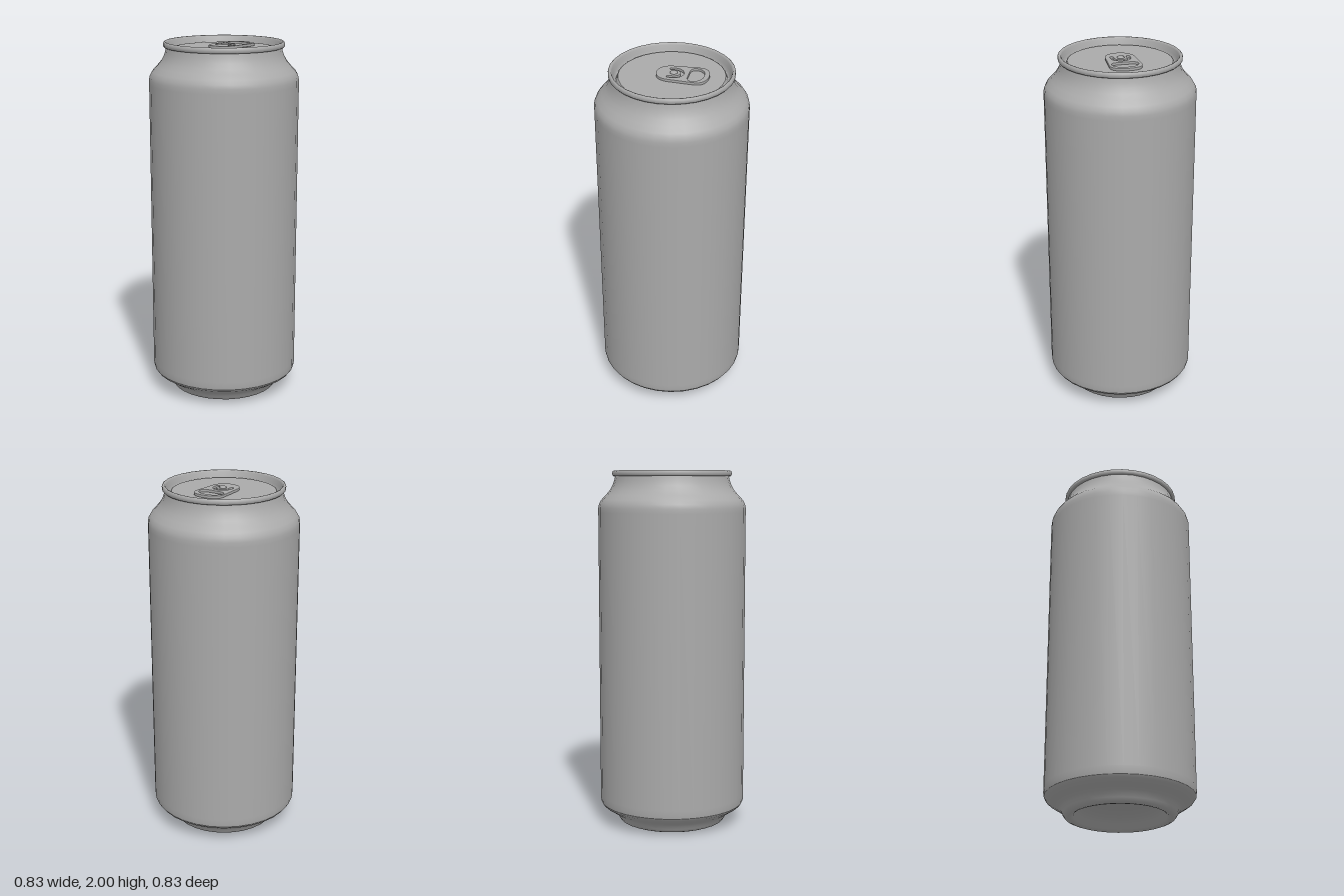
import * as THREE from 'three';

const SEGMENTS = 32;

export function createModel() {
  const can = new THREE.Group();
  can.name = 'drinkCan';
  const metal = new THREE.MeshStandardMaterial({ color: 0xaaaaaa });
  metal.name = 'plain aluminium grey';

  const add = (name, geometry) => {
    const mesh = new THREE.Mesh(geometry, metal);
    mesh.name = name;
    can.add(mesh);
    return mesh;
  };
  // Profiles run [radius, height], from the underside outwards, up and in again
  const lathe = (name, profile) =>
    add(name, new THREE.LatheGeometry(profile.map(([r, y]) => new THREE.Vector2(r, y)), SEGMENTS));

  // Hollow dome and standing ring
  lathe('base', [
    [0, 0.115], [0.07, 0.11], [0.14, 0.094], [0.2, 0.066], [0.235, 0.035], [0.25, 0.012],
    [0.265, 0.002], [0.28, 0], [0.297, 0.007], [0.31, 0.024], [0.318, 0.042],
    [0.335, 0.058], [0.37, 0.08], [0.4, 0.1], [0.41, 0.115],
  ]);

  // Straight wall, rounded shoulder and neck
  lathe('body', [
    [0.41, 0.115], [0.413, 0.135], [0.413, 0.16], [0.413, 1.77], [0.413, 1.795],
    [0.408, 1.818], [0.395, 1.84], [0.37, 1.866], [0.348, 1.892], [0.333, 1.918],
    [0.323, 1.945], [0.318, 1.97],
  ]);

  // Rolled seam, sloping inner wall and groove around the lid
  lathe('rim', [
    [0.318, 1.97], [0.328, 1.969], [0.333, 1.975], [0.334, 1.985], [0.332, 1.995],
    [0.326, 2], [0.319, 1.998], [0.314, 1.99], [0.308, 1.965], [0.302, 1.948],
    [0.296, 1.942], [0.291, 1.946], [0.289, 1.955], [0.286, 1.963], [0.282, 1.965],
  ]);
  lathe('lidPanel', [[0.282, 1.965], [0.14, 1.965], [0, 1.965]]);

  // Pull tab outline, drawn with the back of the can upwards
  const outline = new THREE.Shape();
  outline.moveTo(0, -0.083);
  outline.bezierCurveTo(0.05, -0.083, 0.08, -0.05, 0.081, 0);
  outline.lineTo(0.088, 0.13);
  outline.bezierCurveTo(0.09, 0.175, 0.06, 0.198, 0, 0.199);
  outline.bezierCurveTo(-0.06, 0.198, -0.09, 0.175, -0.088, 0.13);
  outline.lineTo(-0.081, 0);
  outline.bezierCurveTo(-0.08, -0.05, -0.05, -0.083, 0, -0.083);

  // Finger hole
  const finger = new THREE.Path();
  finger.moveTo(-0.035, 0.09);
  finger.lineTo(0.035, 0.09);
  finger.bezierCurveTo(0.08, 0.09, 0.085, 0.135, 0.048, 0.16);
  finger.bezierCurveTo(0.03, 0.175, -0.03, 0.175, -0.048, 0.16);
  finger.bezierCurveTo(-0.085, 0.135, -0.08, 0.09, -0.035, 0.09);

  // Arched slot around the rivet
  const slot = new THREE.Path();
  slot.moveTo(0.054, -0.01);
  slot.lineTo(0.054, 0.01);
  slot.absarc(0, 0.01, 0.054, 0, Math.PI, false);
  slot.lineTo(-0.054, -0.01);
  slot.absarc(-0.045, -0.01, 0.009, Math.PI, Math.PI * 2, false);
  slot.lineTo(-0.036, 0.01);
  slot.absarc(0, 0.01, 0.036, Math.PI, 0, true);
  slot.lineTo(0.036, -0.01);
  slot.absarc(0.045, -0.01, 0.009, Math.PI, Math.PI * 2, false);
  outline.holes.push(finger, slot);

  const tab = new THREE.ExtrudeGeometry(outline, {
    depth: 0.009, curveSegments: 12,
    bevelEnabled: true, bevelThickness: 0.003, bevelSize: 0.003, bevelOffset: -0.003, bevelSegments: 2,
  });
  tab.rotateX(-Math.PI / 2);
  add('pullTab', tab).position.y = 1.969;

  // Rivet holding the tab
  const rivet = new THREE.LatheGeometry([
    [0.02, 1.963], [0.02, 1.983], [0.018, 1.987], [0.013, 1.989], [0, 1.989],
  ].map(([r, y]) => new THREE.Vector2(r, y)), 20);
  add('rivet', rivet).position.z = -0.01;

  return can;
}
